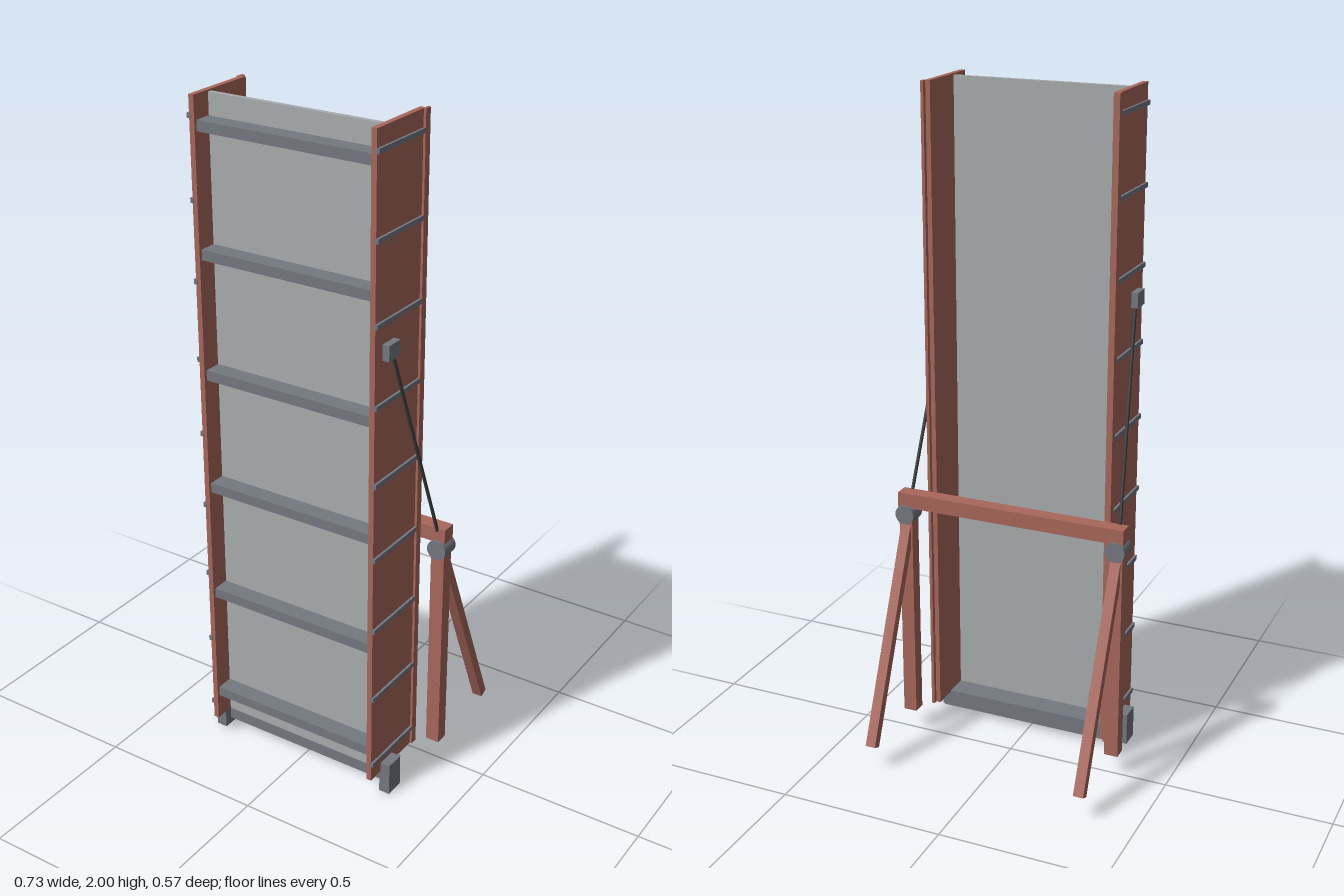
import * as THREE from 'three';

const mat = (color) => new THREE.MeshStandardMaterial({ color });

export function createModel() {
  const model = new THREE.Group();
  const rust = mat(0xa8675a), slate = mat(0x747880), sheet = mat(0xa8acae), dark = mat(0x3a3c3e);

  const add = (name, geometry, material, parent = model) => {
    const mesh = new THREE.Mesh(geometry, material);
    mesh.name = name;
    parent.add(mesh);
    return mesh;
  };

  // Box given by its [min, max] range on each axis
  const box = (name, [x0, x1], [y0, y1], [z0, z1], material, parent) => {
    const mesh = add(name, new THREE.BoxGeometry(x1 - x0, y1 - y0, z1 - z0), material, parent);
    mesh.position.set((x0 + x1) / 2, (y0 + y1) / 2, (z0 + z1) / 2);
    return mesh;
  };

  // Lay a part whose length runs along y between two points
  const span = (name, a, b, makeGeometry, material, parent) => {
    const dir = b.clone().sub(a);
    const mesh = add(name, makeGeometry(dir.length()), material, parent);
    mesh.position.copy(a).add(b).multiplyScalar(0.5);
    mesh.quaternion.setFromUnitVectors(new THREE.Vector3(0, 1, 0), dir.normalize());
    return mesh;
  };

  // Raised deck with its cross beams and hinge beam
  box('deck', [-0.271, 0.271], [0.07, 1.995], [0.207, 0.221], sheet);
  for (let i = 0; i < 6; i++) {
    const y = 0.163 + i * 0.351;
    box('crossBeam', [-0.271, 0.271], [y - 0.015, y + 0.015], [0.221, 0.273], slate);
  }
  box('hingeBeam', [-0.29, 0.29], [0.02, 0.073], [0.134, 0.206], slate);

  // Top rail of the support frame
  box('frameRail', [-0.356, 0.356], [0.755, 0.8], [-0.024, 0.021], rust);

  for (const s of [1, -1]) {
    const side = new THREE.Group();
    side.name = s > 0 ? 'leftSide' : 'rightSide';
    model.add(side);
    const sideBox = (name, x, y, z, material) =>
      box(name, s > 0 ? x : [-x[1], -x[0]], y, z, material, side);

    // Girder with rear flange and outer stiffening ribs
    sideBox('girder', [0.268, 0.284], [0.07, 2], [0.058, 0.282], rust);
    sideBox('flange', [0.282, 0.291], [0.07, 2], [0.045, 0.067], rust);
    for (let i = 0; i < 9; i++) {
      const y = 0.126 + i * 0.2273;
      sideBox('rib', [0.28, 0.291], [y - 0.007, y + 0.007], [0.066, 0.283], slate);
    }

    // Hinge block and cable anchor
    sideBox('hingeBlock', [0.28, 0.314], [0, 0.1], [0.17, 0.23], slate);
    sideBox('cableAnchor', [0.282, 0.304], [1.385, 1.43], [0.192, 0.246], slate);

    // Post, sloping brace and pivot drum
    sideBox('post', [0.312, 0.354], [0.07, 0.757], [-0.021, 0.019], rust);
    span('brace', new THREE.Vector3(s * 0.333, 0.075, -0.27), new THREE.Vector3(s * 0.333, 0.72, 0.003),
      (len) => new THREE.BoxGeometry(0.031, len, 0.028), rust, side);
    const drum = add('drum', new THREE.CylinderGeometry(0.03, 0.03, 0.058, 24), slate, side);
    drum.rotation.x = Math.PI / 2;
    drum.position.set(s * 0.333, 0.732, -0.001);

    // Cable from the frame up to the girder
    span('cable', new THREE.Vector3(s * 0.33, 0.79, 0.018), new THREE.Vector3(s * 0.29, 1.405, 0.212),
      (len) => new THREE.CylinderGeometry(0.005, 0.005, len, 10), dark, side);
  }
  return model;
}
